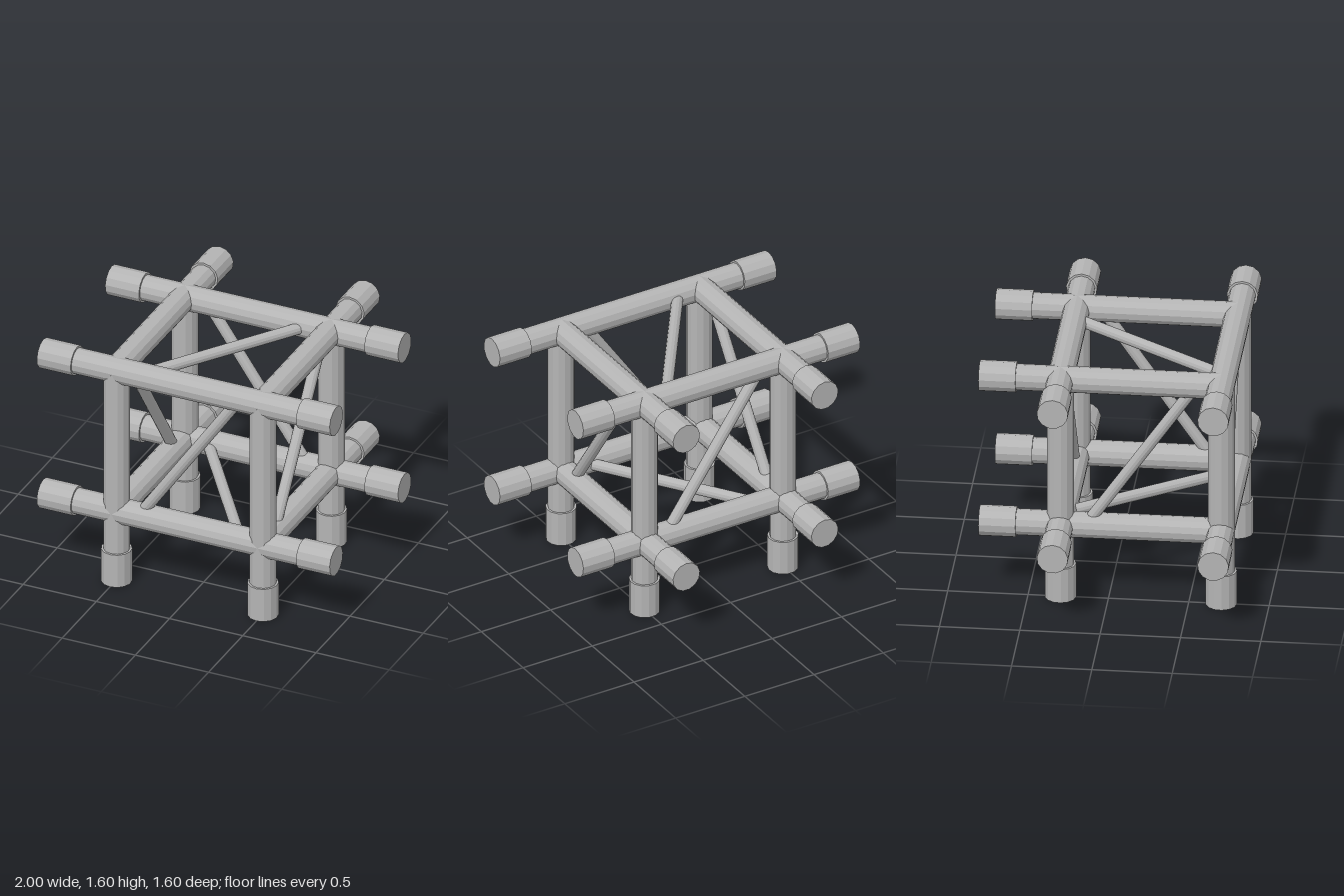
import * as THREE from 'three';

const SIDES = 13;
const PIPE_R = 0.0835, CAP_R = 0.0975, BRACE_R = 0.037, CAP_LEN = 0.23;
const X = 0.5;                       // half spacing of the nodes across
const Y0 = 0.5, Y1 = 1.5;            // lower and upper node levels
const ZF = 0.7025, ZB = -0.2975;     // front and back node rows

export function createModel() {
  const group = new THREE.Group();
  const grey = new THREE.MeshStandardMaterial({ color: 0xb4b4b4, flatShading: true });
  grey.name = 'metalGrey';

  // straight round bar between two points, one corner of its section facing 'up'
  function bar(name, a, b, radius, up) {
    const from = new THREE.Vector3(...a), to = new THREE.Vector3(...b);
    const dir = to.clone().sub(from);
    const length = dir.length();
    dir.normalize();
    const side = new THREE.Vector3().crossVectors(dir, new THREE.Vector3(...up)).normalize();
    const normal = new THREE.Vector3().crossVectors(side, dir);
    const mesh = new THREE.Mesh(new THREE.CylinderGeometry(radius, radius, length, SIDES), grey);
    mesh.quaternion.setFromRotationMatrix(new THREE.Matrix4().makeBasis(side, dir, normal));
    mesh.position.copy(from).add(to).multiplyScalar(0.5);
    mesh.name = name;
    group.add(mesh);
  }

  const UP = [0, 1, 0], FRONT = [0, 0, 1];

  // cross rails with a sleeve at both ends
  for (const y of [Y0, Y1]) {
    for (const z of [ZF, ZB]) {
      bar('crossRail', [-0.99, y, z], [0.99, y, z], PIPE_R, UP);
      for (const s of [-1, 1]) bar('crossRailSleeve', [s * (1 - CAP_LEN), y, z], [s, y, z], CAP_R, UP);
    }
  }

  for (const x of [-X, X]) {
    // depth rails, sleeved at the back
    for (const y of [Y0, Y1]) {
      bar('depthRail', [x, y, ZF], [x, y, -0.79], PIPE_R, UP);
      bar('depthRailSleeve', [x, y, -0.8 + CAP_LEN], [x, y, -0.8], CAP_R, UP);
    }
    // posts, sleeved at the foot
    for (const z of [ZF, ZB]) {
      bar('post', [x, 0.01, z], [x, Y1, z], PIPE_R, FRONT);
      bar('postSleeve', [x, 0, z], [x, CAP_LEN, z], CAP_R, FRONT);
    }
  }

  // one diagonal brace in each face of the cube, crossing its opposite
  const d = 0.345, zm = (ZF + ZB) / 2;
  bar('frontBrace', [-d, Y0, ZF], [d, Y1, ZF], BRACE_R, FRONT);
  bar('backBrace', [d, Y0, ZB], [-d, Y1, ZB], BRACE_R, FRONT);
  bar('leftBrace', [X, Y0, zm + d], [X, Y1, zm - d], BRACE_R, [1, 0, 0]);
  bar('rightBrace', [-X, Y0, zm - d], [-X, Y1, zm + d], BRACE_R, [1, 0, 0]);
  bar('topBrace', [-d, Y1, ZF], [d, Y1, ZB], BRACE_R, UP);
  bar('bottomBrace', [d, Y0, ZF], [-d, Y0, ZB], BRACE_R, UP);

  return group;
}
